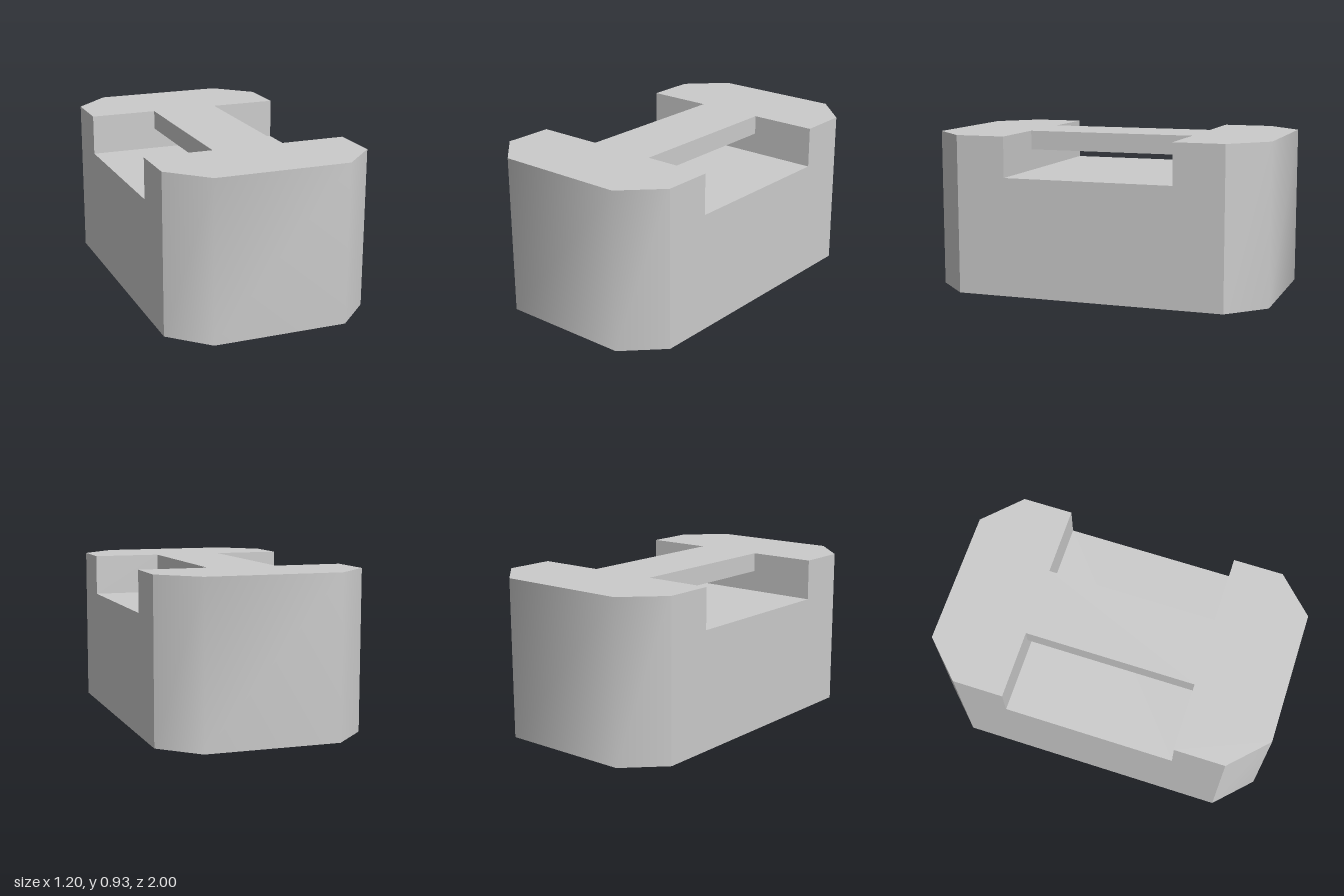
import * as THREE from 'three';
import { toCreasedNormals } from 'three/addons/utils/BufferGeometryUtils.js';

const W = 0.6, L = 1;             // half width, half length
const CX = 0.39, CZ = 0.793;      // where the corner chamfers start
const H = 0.927;                  // full height
const FLOOR = 0.69, UNDER = 0.815; // pocket floor, underside of the bridge
const PZ = 0.5, BX = 0.203;       // half length of the pockets, half width of the bridge

const rect = (u, v0, v1) => [[-u, v0], [u, v0], [u, v1], [-u, v1]];

// Maps from a counter-clockwise 2D outline to an outward facing plane
const front = z => (u, v) => [u, v, z];
const side = x => (u, v) => [x, v, -u];
const up = y => (u, v) => [u, y, -v];
const down = y => (u, v) => [u, y, v];
const wall = (x0, z0, x1, z1) => (u, v) => [u ? x1 : x0, v, u ? z1 : z0];

// Collects planar faces into one shell with sharp and soft edges
function shell(name, faces) {
  const position = [];
  for (const { outline, map, twice } of faces) {
    const points = outline.map(([u, v]) => new THREE.Vector2(u, v));
    const triangles = THREE.ShapeUtils.triangulateShape(points, []);
    // Paired faces repeat after a half turn about the y axis
    for (const s of twice ? [1, -1] : [1]) {
      for (const i of triangles.flat()) {
        const [x, y, z] = map(...outline[i]);
        position.push(s * x, y, s * z);
      }
    }
  }
  const geometry = new THREE.BufferGeometry();
  geometry.setAttribute('position', new THREE.Float32BufferAttribute(position, 3));
  const mesh = new THREE.Mesh(
    toCreasedNormals(geometry, Math.PI / 4),
    new THREE.MeshStandardMaterial({ color: 0xcccccc })
  );
  mesh.name = name;
  return mesh;
}

export function createModel() {
  const octagon = [[-CX, -L], [CX, -L], [W, -CZ], [W, CZ], [CX, L], [-CX, L], [-W, CZ], [-W, -CZ]];
  const endTop = [[-W, -PZ], [-W, -CZ], [-CX, -L], [CX, -L], [W, -CZ], [W, -PZ]];
  const sideOutline = [[-CZ, 0], [CZ, 0], [CZ, H], [PZ, H], [PZ, FLOOR], [-PZ, FLOOR], [-PZ, H], [-CZ, H]];
  const pocketEnd = [[-W, FLOOR], [W, FLOOR], [W, H], [BX, H], [BX, UNDER], [-BX, UNDER], [-BX, H], [-W, H]];
  const strip = [[0, 0], [1, 0], [1, H], [0, H]];

  const group = new THREE.Group();
  group.name = 'notchedBlock';

  // Chamfered block with a slot cut across its top
  group.add(shell('body', [
    { outline: octagon, map: down(0) },
    { outline: rect(CX, 0, H), map: front(L), twice: true },
    { outline: strip, map: wall(CX, L, W, CZ), twice: true },
    { outline: strip, map: wall(-W, CZ, -CX, L), twice: true },
    { outline: sideOutline, map: side(W), twice: true },
    { outline: endTop, map: up(H), twice: true },
    { outline: pocketEnd, map: front(-PZ), twice: true },
    { outline: rect(W, -PZ, PZ), map: up(FLOOR) },
  ]));

  // Bar spanning the slot, open underneath
  group.add(shell('bridge', [
    { outline: rect(BX, -PZ, PZ), map: up(H) },
    { outline: rect(BX, -PZ, PZ), map: down(UNDER) },
    { outline: rect(PZ, UNDER, H), map: side(BX), twice: true },
  ]));

  return group;
}
